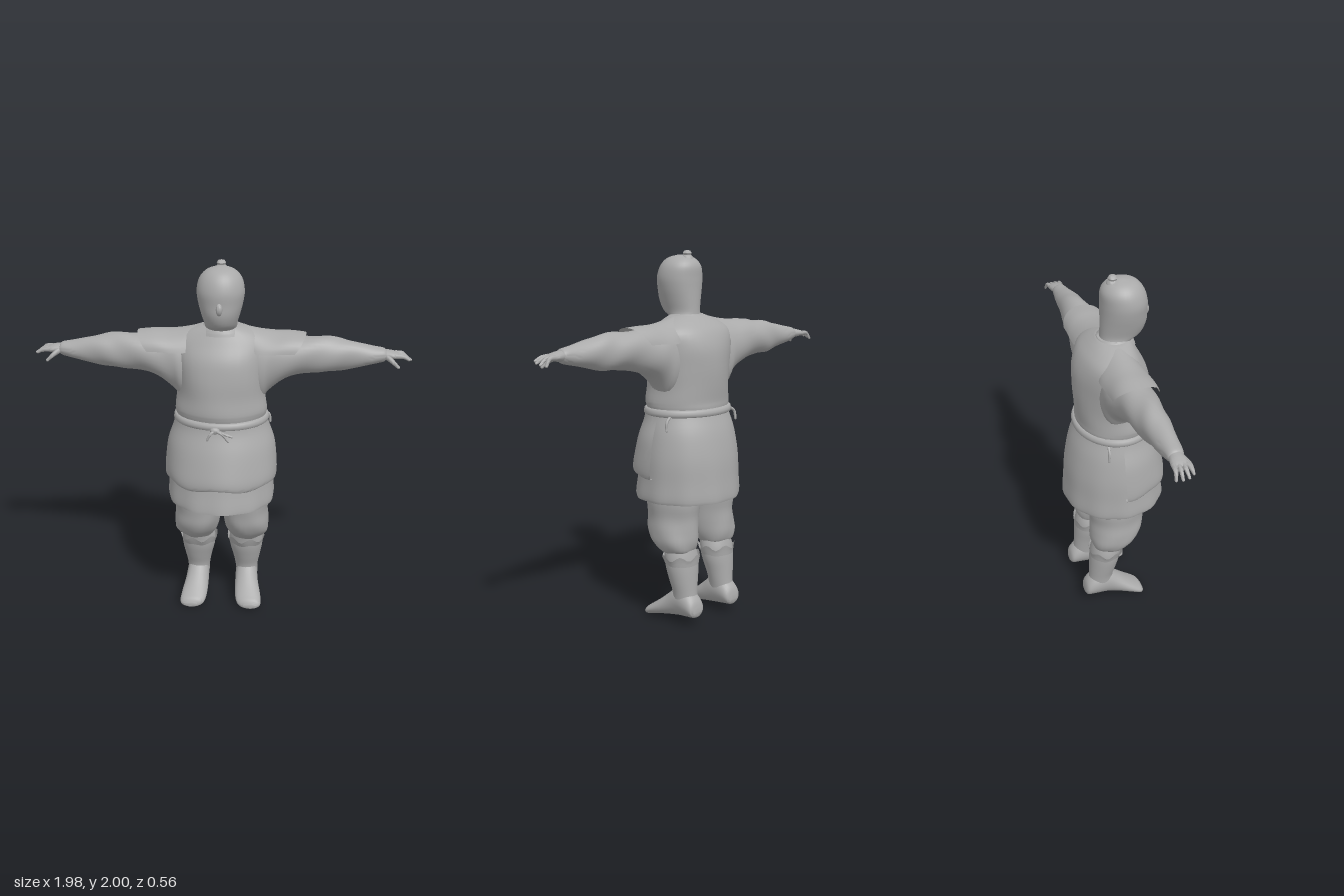
import * as THREE from 'three';
import { toCreasedNormals } from 'three/addons/utils/BufferGeometryUtils.js';

const grey = new THREE.MeshStandardMaterial({ color: 0xaaaaaa, side: THREE.DoubleSide });
grey.name = 'clay grey';

// Smooth interpolation through the rows of cross-sections
function sample(rows, t) {
  const n = rows.length - 1, i = Math.min(Math.floor(t * n), n - 1), f = t * n - i;
  const at = k => rows[Math.max(0, Math.min(n, k))];
  const [a, b, c, d] = [at(i - 1), at(i), at(i + 1), at(i + 2)];
  return b.map((_, k) => b[k] + 0.5 * f * (c[k] - a[k] + f * (2 * a[k] - 5 * b[k] + 4 * c[k] - d[k]
    + f * (3 * (b[k] - c[k]) + d[k] - a[k]))));
}

// Elliptical loft along an axis. Row: [position, uMin, uMax, vMin, vMax]
// (u, v) is (z, x) along y, (y, z) along x and (x, y) along z. Angle 0 points to +u.
function loft(axis, rows, { seg = 32, steps = 4, arc = null, fold = null, warp = null } = {}) {
  const order = { x: [1, 2, 0], y: [2, 0, 1], z: [0, 1, 2] }[axis];
  const pos = [], idx = [], count = (rows.length - 1) * steps, cols = arc ? seg + 1 : seg;
  const [from, to] = arc || [0, Math.PI * 2];
  const put = (u, v, w, a, t) => {
    const p = new THREE.Vector3();
    [u, v, w].forEach((q, k) => p.setComponent(order[k], q));
    if (warp) warp(p, a, t);
    pos.push(p.x, p.y, p.z);
  };
  for (let i = 0; i <= count; i++) {
    const t = i / count, [w, u0, u1, v0, v1] = sample(rows, t);
    for (let j = 0; j < cols; j++) {
      const a = from + (to - from) * j / seg, k = fold ? 1 + fold(a, t) : 1;
      put((u0 + u1) / 2 + (u1 - u0) / 2 * k * Math.cos(a), (v0 + v1) / 2 + (v1 - v0) / 2 * k * Math.sin(a), w, a, t);
    }
  }
  for (let i = 0; i < count; i++) for (let j = 0; j < seg; j++) {
    const a = i * cols + j, b = i * cols + (j + 1) % cols;
    idx.push(a, b, b + cols, a, b + cols, a + cols);
  }
  if (!arc) [0, count].forEach(i => {
    const [w, u0, u1, v0, v1] = rows[i ? rows.length - 1 : 0], c = pos.length / 3;
    put((u0 + u1) / 2, (v0 + v1) / 2, w, 0, i / count);
    for (let j = 0; j < seg; j++) {
      const a = i * cols + j, b = i * cols + (j + 1) % cols;
      idx.push(c, ...(i ? [a, b] : [b, a]));
    }
  });
  const g = new THREE.BufferGeometry();
  g.setAttribute('position', new THREE.Float32BufferAttribute(pos, 3));
  g.setIndex(idx);
  return g;
}

// Tapered finger or cord along a path
function strand(points, r0, r1) {
  const curve = new THREE.CatmullRomCurve3(points.map(p => new THREE.Vector3(...p)));
  const g = new THREE.TubeGeometry(curve, 8, 1, 8), p = g.attributes.position;
  const v = new THREE.Vector3(), c = new THREE.Vector3();
  for (let i = 0; i < p.count; i++) {
    const t = Math.floor(i / 9) / 8;
    curve.getPointAt(t, c);
    v.fromBufferAttribute(p, i).sub(c).multiplyScalar(r0 + (r1 - r0) * t).add(c);
    p.setXYZ(i, v.x, v.y, v.z);
  }
  const tip = new THREE.SphereGeometry(r1, 8, 6).translate(...points[points.length - 1]);
  return [g, tip];
}

export function createModel() {
  const model = new THREE.Group();
  model.name = 'robedFigure';
  const add = (name, geo, crease = 0.9) => {
    const mesh = new THREE.Mesh(toCreasedNormals(geo, crease), grey);
    mesh.name = name;
    model.add(mesh);
  };
  const pair = (name, geo, crease) => {
    const m = geo.clone().scale(-1, 1, 1);
    m.setIndex(Array.from(geo.index.array).reverse());
    add(name + 'Left', geo, crease);
    add(name + 'Right', m, crease);
  };

  // Head, topknot and nose
  add('head', loft('y', [
    [1.58, -.07, .09, -.09, .09], [1.65, -.065, .10, -.085, .085], [1.685, -.062, .155, -.085, .085],
    [1.74, -.06, .18, -.10, .10], [1.80, -.058, .182, -.115, .115], [1.86, -.057, .182, -.122, .122],
    [1.92, -.053, .162, -.108, .108], [1.96, -.02, .125, -.07, .07], [1.977, .03, .065, -.015, .015],
  ]));
  const knot = [[.034, 1.94], [.03, 1.965], [.02, 1.975], [.024, 1.985], [.016, 1.997], [.001, 2]];
  add('topknot', new THREE.LatheGeometry(knot.map(p => new THREE.Vector2(...p)), 16).translate(0, 0, .005));
  add('nose', new THREE.SphereGeometry(1, 12, 10).scale(.017, .032, .022).translate(0, 1.785, .178));

  // Tunic body with soft creases and a low collar
  add('tunic', loft('y', [
    [1.10, -.18, .18, -.22, .22], [1.18, -.195, .195, -.24, .24], [1.22, -.195, .203, -.245, .245],
    [1.30, -.202, .197, -.235, .235], [1.40, -.206, .192, -.24, .24], [1.50, -.20, .172, -.25, .25],
    [1.58, -.17, .13, -.25, .25], [1.63, -.125, .105, -.19, .19], [1.665, -.08, .09, -.10, .10],
  ], { fold: (a, t) => .012 * Math.sin(5 * a + 9 * t) * Math.sin(Math.PI * t) }));
  add('collar', loft('y', [[1.625, -.105, .118, -.13, .13], [1.65, -.09, .108, -.11, .11], [1.67, -.075, .09, -.09, .09]]));

  // Skirt, with the shorter apron laid over its front
  const pleat = n => (a, t) => .018 * t0(t) * Math.sin(n * a + .6);
  const t0 = t => (1 - t) * (1 - t);
  add('skirt', loft('y', [
    [.73, -.20, .20, -.20, .20], [.69, -.262, .268, -.275, .275], [.705, -.275, .276, -.292, .292],
    [.80, -.268, .258, -.287, .287], [.92, -.258, .24, -.283, .283], [1.05, -.232, .212, -.265, .265],
    [1.14, -.20, .195, -.243, .243], [1.18, -.188, .19, -.235, .235],
  ], { seg: 64, fold: pleat(11) }));
  add('apron', loft('y', [
    [.835, -.245, .255, -.28, .28], [.822, -.265, .278, -.30, .30], [.86, -.268, .283, -.306, .306],
    [.94, -.262, .265, -.301, .301], [1.03, -.245, .24, -.288, .288], [1.12, -.212, .209, -.257, .257],
    [1.18, -.198, .20, -.243, .243],
  ], { seg: 48, arc: [-1.68, 1.68], fold: pleat(7),
    warp: (p, a, t) => { p.y += .012 * t0(t) * Math.cos(6 * a); } }));

  // Belt, front knot and hanging ties
  add('belt', loft('y', [
    [1.145, -.20, .20, -.244, .244], [1.152, -.212, .212, -.256, .256],
    [1.178, -.208, .209, -.252, .252], [1.185, -.19, .19, -.24, .24],
  ], { seg: 48, steps: 2 }));
  add('beltKnot', new THREE.SphereGeometry(.022, 12, 8).scale(1.2, .8, .8).translate(-.02, 1.15, .212));
  [[-.06, 1.105], [.05, 1.10], [.07, 1.125]].forEach(([x, y]) =>
    strand([[-.02, 1.15, .215], [(x - .02) / 2, 1.14, .23], [x, y, .232]], .009, .006).forEach(g => add('beltTail', g)));
  strand([[.23, 1.15, -.10], [.255, 1.13, -.105], [.262, 1.085, -.11]], .008, .007).forEach(g => pair('sideTie', g));

  // Sleeves running out to the wrists
  pair('sleeve', loft('x', [
    [.10, 1.30, 1.63, -.12, .09], [.20, 1.25, 1.628, -.135, .105], [.25, 1.31, 1.62, -.13, .10],
    [.32, 1.365, 1.612, -.12, .095], [.42, 1.405, 1.605, -.105, .085], [.52, 1.415, 1.605, -.093, .074],
    [.60, 1.42, 1.60, -.083, .066], [.68, 1.438, 1.583, -.07, .055], [.78, 1.46, 1.56, -.06, .044],
    [.84, 1.475, 1.55, -.052, .032], [.855, 1.485, 1.54, -.045, .025],
  ], { fold: (a, t) => .035 * Math.sin(Math.PI * t) * Math.sin(3 * a + 26 * t) }));

  // Shoulder flaps, cut back at their lower corners
  pair('shoulderFlap', loft('x', [
    [.11, 1.42, 1.66, -.11, .085], [.20, 1.39, 1.638, -.136, .108], [.28, 1.40, 1.628, -.14, .112],
    [.36, 1.41, 1.628, -.14, .112], [.44, 1.42, 1.622, -.138, .11],
  ], { seg: 20, arc: [-1.4, 1.4], fold: (a, t) => .02 * Math.sin(4 * a + 5 * t),
    warp: (p, a, t) => { p.x -= .03 * a * a * t; } }));

  // Hands
  pair('palm', loft('x', [
    [.83, 1.485, 1.54, -.042, .022], [.86, 1.487, 1.54, -.05, .026],
    [.90, 1.492, 1.532, -.057, .03], [.93, 1.493, 1.52, -.052, .024],
  ], { seg: 16 }));
  [[-.045, .968, 1.478], [-.024, .982, 1.484], [-.002, .984, 1.49], [.018, .972, 1.497]].forEach(([z, x, y]) =>
    strand([[.905, 1.513, z], [.945, 1.51, z * 1.15], [x, y, z * 1.3]], .014, .007).forEach(g => pair('finger', g)));
  strand([[.86, 1.508, .015], [.89, 1.487, .04], [.918, 1.462, .047]], .016, .008).forEach(g => pair('thumb', g));

  // Baggy trousers gathered below the knee
  pair('trouserLeg', loft('y', [
    [.405, -.15, .01, .06, .22], [.425, -.168, .035, .045, .245], [.47, -.178, .085, .025, .265],
    [.53, -.176, .118, .012, .266], [.60, -.174, .128, .006, .258], [.68, -.185, .138, .002, .262],
    [.78, -.18, .14, 0, .255],
  ], { fold: (a, t) => .04 * (1 - t) * Math.sin(5 * a + 8 * t) }));

  // Gaiters with a ragged top edge
  pair('shin', loft('y', [
    [.10, -.20, -.035, .085, .20], [.18, -.19, -.05, .075, .205], [.25, -.186, -.032, .062, .218],
    [.32, -.182, -.012, .045, .23], [.38, -.175, -.002, .042, .232], [.44, -.16, .01, .06, .22],
  ]));
  pair('gaiterCuff', loft('y', [
    [.335, -.18, -.012, .044, .23], [.365, -.182, .002, .036, .238], [.385, -.185, .01, .03, .245],
  ], { arc: [0, Math.PI * 2], warp: (p, a, t) => { p.y += .014 * t * Math.sin(6 * a); } }));

  // Boots, turned slightly outwards with the heel raised
  pair('boot', loft('z', [
    [-.222, .115, .17, .07, .11], [-.208, .09, .195, .057, .155], [-.16, .08, .205, .05, .20],
    [-.09, .078, .205, .04, .215], [-.03, .078, .212, .03, .165], [.03, .08, .225, .02, .115],
    [.08, .088, .232, .01, .078], [.108, .105, .228, .005, .058], [.122, .135, .205, .012, .035],
  ], { seg: 24, warp: p => {
    // Flatten the sole along its slope
    p.y = Math.max(p.y, .024 - .14 * p.z - .006);
  } }));

  return model;
}
